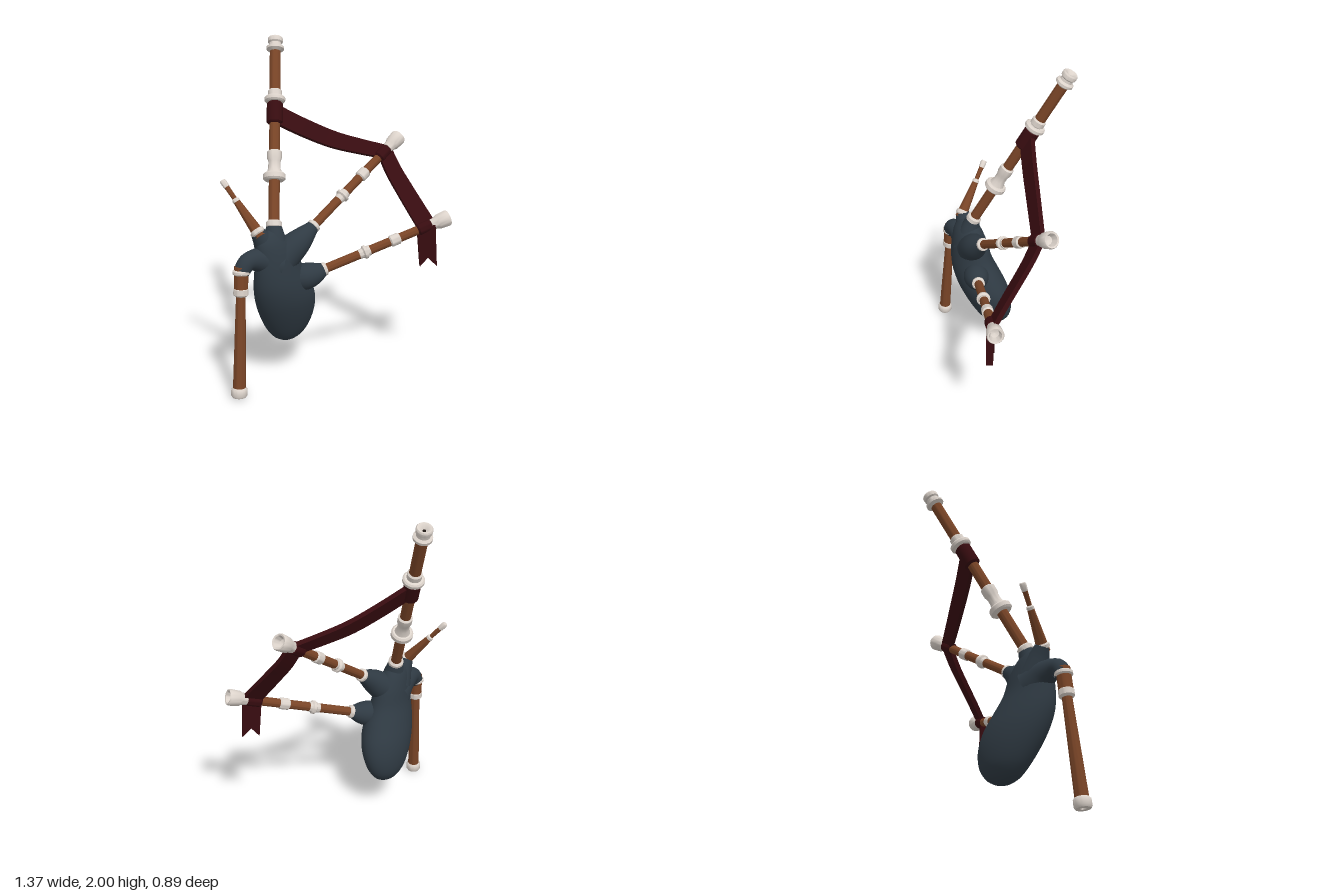
import * as THREE from 'three';
import { toCreasedNormals } from 'three/addons/utils/BufferGeometryUtils.js';

const V = (x, y, z) => new THREE.Vector3(x, y, z);

function material(name, color) {
  const m = new THREE.MeshStandardMaterial({ color });
  m.name = name;
  return m;
}

// Skin a row of elliptical sections { c, a, b }; a x b points along the row.
function loft(sections, n, start = 0) {
  const pos = [], index = [];
  sections.forEach(({ c, a, b }, i) => {
    for (let j = 0; j < n; j++) {
      const t = start + (j / n) * Math.PI * 2;
      const p = c.clone().addScaledVector(a, Math.cos(t)).addScaledVector(b, Math.sin(t));
      pos.push(p.x, p.y, p.z);
      if (i === sections.length - 1) continue;
      const k = (j + 1) % n, o = i * n, q = o + n;
      index.push(o + j, o + k, q + j, o + k, q + k, q + j);
    }
  });
  const g = new THREE.BufferGeometry();
  g.setAttribute('position', new THREE.Float32BufferAttribute(pos, 3));
  g.setIndex(index);
  g.computeVertexNormals();
  return g;
}

export function createModel() {
  const root = new THREE.Group();
  root.name = 'bagpipes';
  const ivory = material('ivory', 0xdcd3cb);
  const wood = material('wood', 0x7a4527);
  const leather = material('bagCloth', 0x2f3a43);
  const cloth = material('ribbonCloth', 0x380c10);
  const dark = material('boreDark', 0x1c1410);

  const add = (parent, name, geometry, mat) => {
    const m = new THREE.Mesh(geometry, mat);
    m.name = name;
    parent.add(m);
    return m;
  };

  // Turned pipe: each part is [name, material, [radius, distance] profile].
  function pipe(name, base, tip, parts) {
    const g = new THREE.Group();
    g.name = name;
    g.position.copy(base);
    g.quaternion.setFromUnitVectors(V(0, 1, 0), tip.clone().sub(base).normalize());
    for (const [part, mat, profile] of parts) {
      const lathe = new THREE.LatheGeometry(profile.map(([r, d]) => new THREE.Vector2(r, d)), 28);
      add(g, part, toCreasedNormals(lathe, 0.7), mat);
    }
    root.add(g);
  }
  // Rounded ring profile
  const ring = (d0, d1, r, inner = 0.015) => {
    const e = Math.min(0.01, (d1 - d0) / 4);
    return [[inner, d0], [r - e, d0], [r, d0 + e], [r, d1 - e], [r - e, d1], [inner, d1]];
  };
  const rod = (d0, d1, r0, r1 = r0) => [[0, d0], [r0, d0], [r1, d1], [0, d1]];

  // Bass drone
  const bassBase = V(-0.38, 0.96, 0.16), bassTip = V(-0.365, 1.98, -0.4);
  pipe('bassDrone', bassBase, bassTip, [
    ['lowerWood', wood, rod(-0.03, 0.77, 0.032)],
    ['baseCollar', ivory, ring(-0.02, 0.025, 0.046)],
    ['lowerDisc', ivory, ring(0.265, 0.31, 0.066)],
    ['lowerSleeve', ivory, [[0.03, 0.3], [0.046, 0.31], [0.036, 0.34], [0.036, 0.38], [0.043, 0.4], [0.043, 0.44], [0.03, 0.45]]],
    ['ribbonWrap', cloth, ring(0.615, 0.75, 0.048)],
    ['upperDisc', ivory, ring(0.75, 0.785, 0.062)],
    ['upperSleeve', ivory, ring(0.78, 0.83, 0.042)],
    ['upperWood', wood, rod(0.8, 1.11, 0.033)],
    ['topCap', ivory, [[0.03, 1.075], [0.038, 1.08], [0.053, 1.09], [0.053, 1.105], [0.038, 1.115], [0.037, 1.13],
      [0.045, 1.138], [0.046, 1.16], [0.04, 1.168], [0.028, 1.165], [0.012, 1.145], [0, 1.145]]],
    ['bore', dark, [[0.01, 1.146], [0, 1.149]]],
  ]);

  // Two tenor drones share one pattern
  const tenors = [
    ['upperTenorDrone', V(-0.15, 0.93, 0.08), V(0.39, 1.38, -0.335)],
    ['lowerTenorDrone', V(-0.09, 0.67, 0.105), V(0.67, 0.93, -0.06)],
  ];
  for (const [name, base, tip] of tenors) {
    pipe(name, base, tip, [
      ['wood', wood, rod(-0.04, 0.73, 0.027)],
      ['baseCollar', ivory, ring(-0.015, 0.015, 0.04)],
      ['lowerRing', ivory, [[0.02, 0.225], [0.028, 0.225], [0.031, 0.25], [0.041, 0.258], [0.041, 0.272], [0.031, 0.28], [0.031, 0.295], [0.02, 0.295]]],
      ['upperRing', ivory, ring(0.425, 0.495, 0.035)],
      ['ribbonWrap', cloth, ring(0.61, 0.705, 0.037)],
      ['bellCap', ivory, [[0.02, 0.7], [0.034, 0.702], [0.037, 0.735], [0.045, 0.75], [0.049, 0.81], [0.044, 0.82],
        [0.035, 0.817], [0.024, 0.78], [0, 0.77]]],
    ]);
  }

  // Blowpipe
  pipe('blowpipe', V(-0.47, 0.94, 0.24), V(-0.67, 1.215, 0.115), [
    ['lowerWood', wood, rod(-0.03, 0.22, 0.036, 0.019)],
    ['baseCollar', ivory, ring(-0.015, 0.018, 0.042)],
    ['middleRing', ivory, ring(0.205, 0.235, 0.021, 0.008)],
    ['upperWood', wood, rod(0.22, 0.33, 0.013, 0.015)],
    ['mouthpiece', ivory, [[0, 0.315], [0.017, 0.315], [0.019, 0.35], [0.015, 0.362], [0, 0.362]]],
  ]);

  // Chanter hanging from the bag's neck
  pipe('chanter', V(-0.563, 0.74, 0.335), V(-0.592, 0.005, 0.402), [
    ['stock', wood, rod(-0.03, 0.12, 0.04)],
    ['topCollar', ivory, ring(-0.01, 0.018, 0.05)],
    ['stockRing', ivory, ring(0.09, 0.142, 0.043)],
    ['body', wood, rod(0.13, 0.71, 0.027, 0.037)],
    ['foot', ivory, [[0.02, 0.68], [0.038, 0.68], [0.046, 0.69], [0.047, 0.725], [0.04, 0.737], [0.015, 0.737], [0.012, 0.715], [0, 0.715]]],
    ['bore', dark, [[0, 0.716], [0.012, 0.717]].reverse()],
  ]);

  // Bag: [height, x, z, half size] for leaning oval sections
  const bag = new THREE.Group();
  bag.name = 'bag';
  root.add(bag);
  const rows = [
    [0.205, -0.31, 0.04, 0], [0.212, -0.31, 0.04, 0.04], [0.24, -0.31, 0.04, 0.085], [0.3, -0.31, 0.045, 0.128],
    [0.4, -0.313, 0.07, 0.163], [0.5, -0.322, 0.105, 0.175], [0.6, -0.34, 0.145, 0.163], [0.7, -0.358, 0.175, 0.138],
    [0.8, -0.37, 0.185, 0.118], [0.88, -0.39, 0.195, 0.09], [0.93, -0.4, 0.195, 0.05], [0.945, -0.4, 0.195, 0],
  ];
  const centres = new THREE.CatmullRomCurve3(rows.map(([y, x, z]) => V(x, y, z)));
  const sizes = new THREE.CatmullRomCurve3(rows.map(([y, , , r]) => V(r, y, 0)));
  const wide = V(1, 0, -1).normalize(), thin = V(-1, 0, -1).normalize();
  const sections = [];
  for (let i = 0; i <= 44; i++) {
    const r = Math.max(0, sizes.getPoint(i / 44).x);
    sections.push({ c: centres.getPoint(i / 44), a: wide.clone().multiplyScalar(r * 1.18), b: thin.clone().multiplyScalar(r * 0.79) });
  }
  add(bag, 'bagBody', loft(sections, 36), leather);

  // Tapering cloth necks leading to each pipe
  function neck(name, pts, radii) {
    const curve = new THREE.CatmullRomCurve3(pts);
    const rc = new THREE.CatmullRomCurve3(radii.map((r, i) => V(r, i, 0)));
    const frames = curve.computeFrenetFrames(16);
    const secs = [];
    for (let i = 0; i <= 16; i++) {
      const r = rc.getPoint(i / 16).x;
      secs.push({
        c: curve.getPointAt(i / 16),
        a: frames.normals[i].clone().multiplyScalar(r),
        b: frames.binormals[i].clone().multiplyScalar(r),
      });
    }
    const last = secs[16];
    secs.push({ c: last.c, a: V(0, 0, 0), b: V(0, 0, 0) });
    add(bag, name, toCreasedNormals(loft(secs, 24), 0.9), leather);
  }
  neck('bassNeck', [V(-0.375, 0.78, 0.19), V(-0.378, 0.87, 0.185), V(-0.38, 0.955, 0.163)], [0.095, 0.07, 0.044]);
  neck('blowpipeNeck', [V(-0.41, 0.8, 0.2), V(-0.44, 0.88, 0.222), V(-0.47, 0.94, 0.24)], [0.08, 0.062, 0.042]);
  neck('upperTenorNeck', [V(-0.33, 0.77, 0.17), V(-0.235, 0.855, 0.135), V(-0.155, 0.925, 0.083)], [0.095, 0.076, 0.038]);
  neck('lowerTenorNeck', [V(-0.27, 0.62, 0.14), V(-0.18, 0.64, 0.125), V(-0.13, 0.655, 0.115), V(-0.092, 0.67, 0.105)], [0.07, 0.08, 0.068, 0.038]);
  neck('chanterNeck', [V(-0.39, 0.74, 0.2), V(-0.46, 0.78, 0.25), V(-0.53, 0.785, 0.31), V(-0.563, 0.735, 0.335)], [0.11, 0.078, 0.055, 0.046]);

  // Draped ribbon, its width turning from one pipe's axis to the next
  function ribbon(name, pts, w0, w1) {
    const curve = new THREE.CatmullRomCurve3(pts);
    const secs = [];
    for (let i = 0; i <= 20; i++) {
      const a = w0.clone().lerp(w1, i / 20);
      const b = curve.getTangentAt(i / 20).cross(a).setLength(0.02);
      secs.push({ c: curve.getPointAt(i / 20), a, b });
    }
    const closed = (s) => ({ c: s.c, a: V(0, 0, 0), b: V(0, 0, 0) });
    add(root, name, toCreasedNormals(loft([closed(secs[0]), ...secs, closed(secs[20])], 4, Math.PI / 4), 0.6), cloth);
  }
  const axis = (p, q, len) => q.clone().sub(p).setLength(len * Math.SQRT2);
  const bassAxis = axis(bassBase, bassTip, 0.06);
  const upperAxis = axis(tenors[0][1], tenors[0][2], 0.052);
  const lowerAxis = axis(tenors[1][1], tenors[1][2], 0.056);
  ribbon('upperRibbon', [V(-0.372, 1.555, -0.165), V(-0.2, 1.465, -0.19), V(-0.02, 1.385, -0.22), V(0.15, 1.335, -0.245), V(0.29, 1.3, -0.265)],
    bassAxis, upperAxis);
  ribbon('lowerRibbon', [V(0.295, 1.305, -0.265), V(0.345, 1.195, -0.215), V(0.41, 1.085, -0.15), V(0.475, 0.98, -0.085), V(0.535, 0.885, -0.03)],
    upperAxis, lowerAxis);

  // Swallow-tailed ribbon end
  const tail = new THREE.Shape([[0.475, 0.86], [0.495, 0.64], [0.542, 0.695], [0.598, 0.64], [0.583, 0.9], [0.48, 0.89]]
    .map(([x, y]) => new THREE.Vector2(x, y)));
  add(root, 'ribbonTail', new THREE.ExtrudeGeometry(tail, { depth: 0.04, bevelEnabled: false }), cloth).position.z = -0.04;

  return root;
}
